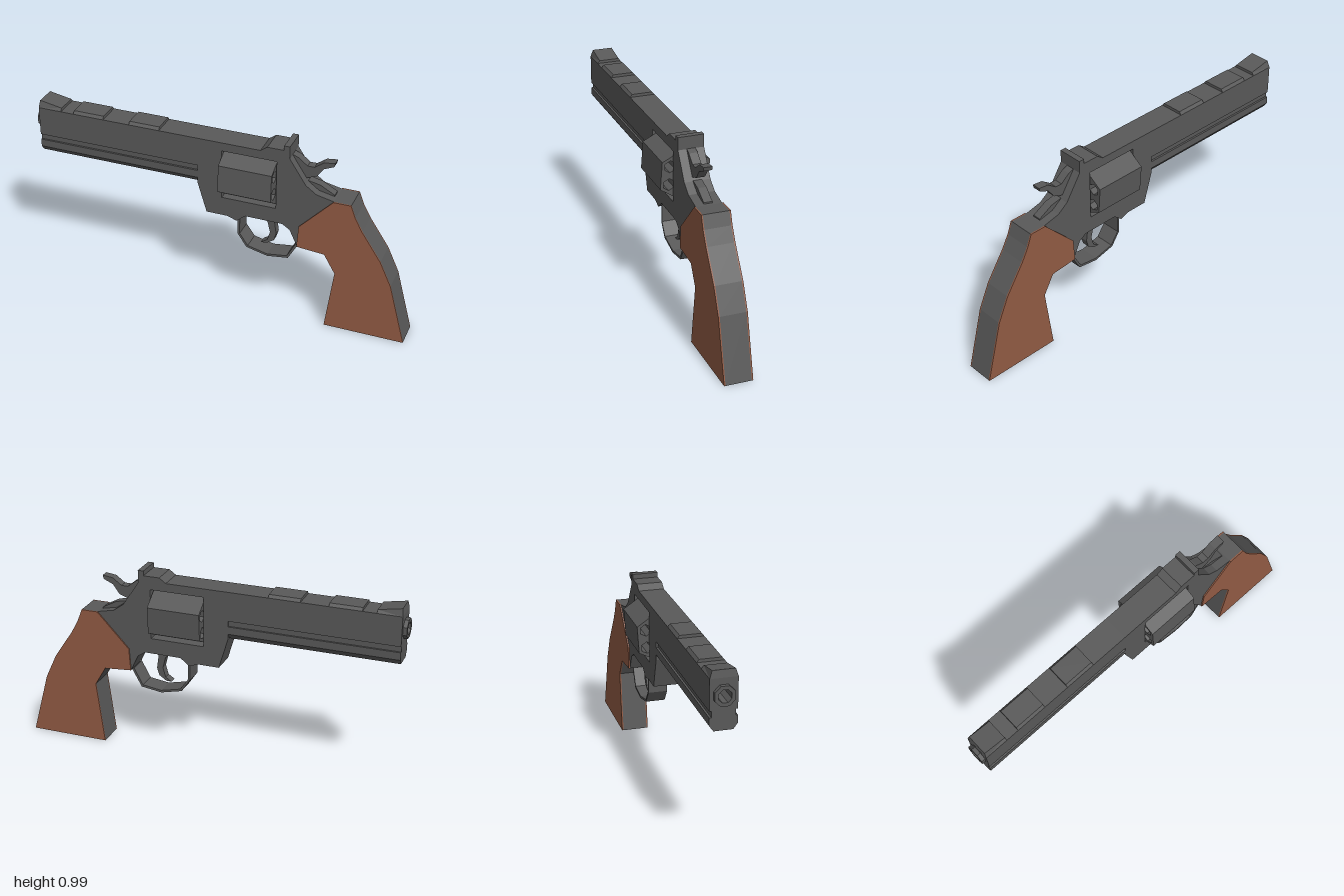
import * as THREE from 'three';

const steel = new THREE.MeshStandardMaterial({ color: 0x595959 });
steel.name = 'dark steel';
const wood = new THREE.MeshStandardMaterial({ color: 0x925b44 });
wood.name = 'brown wood';

const toShape = (pts) => new THREE.Shape(pts.map(([x, y]) => new THREE.Vector2(x, y)));
const toPath = (pts) => new THREE.Path(pts.map(([x, y]) => new THREE.Vector2(x, y)));

// Regular polygon, first corner at angle a0 (radians)
function ring(cx, cy, r, n, a0 = 0) {
  return Array.from({ length: n }, (_, i) => {
    const a = a0 + (i / n) * Math.PI * 2;
    return [cx + r * Math.cos(a), cy + r * Math.sin(a)];
  });
}

function extrude(pts, depth, holes = []) {
  const shape = toShape(pts);
  shape.holes = holes.map(toPath);
  return new THREE.ExtrudeGeometry(shape, { depth, bevelEnabled: false });
}

// Side profile (x, y) with thickness from z0 to z1
const slab = (pts, z0, z1, holes) => extrude(pts, z1 - z0, holes).translate(0, 0, z0);

// Cross-section (-z, y) swept along x from x0 to x1
const sweep = (pts, x0, x1, holes) => extrude(pts, x1 - x0, holes).rotateY(Math.PI / 2).translate(x0, 0, 0);

export function createModel() {
  const group = new THREE.Group();
  const add = (name, geometry, material = steel) => {
    const mesh = new THREE.Mesh(geometry, material);
    mesh.name = name;
    group.add(mesh);
  };
  const W = 0.066;

  // Grip outline, from the top of the backstrap down and round to the front
  const backstrap = [[0.6, 0.735], [0.688, 0.735], [0.712, 0.67], [0.75, 0.6], [0.85, 0.45],
    [0.91, 0.32], [0.995, 0], [0.58, 0], [0.623, 0.325], [0.565, 0.425], [0.42, 0.437]];

  // Frame and grip core in one piece, with the cylinder window
  const frame = [[-0.11, 0.69], [-0.11, 0.94], [0.22, 0.94], [0.255, 0.965], [0.34, 0.965],
    [0.34, 0.99], [0.37, 0.99], [0.37, 0.925], [0.455, 0.795], [0.51, 0.755], ...backstrap,
    [0.38, 0.522], [0.34, 0.548], [0.145, 0.548], [0.1, 0.51], [0.05, 0.528], [-0.062, 0.528]];
  const windowHole = [[0.02, 0.63], [0.305, 0.63], [0.305, 0.895], [0.02, 0.895]];
  add('frame', slab(frame, -W, W, [windowHole]));

  // Wooden grip panels
  const panel = [...backstrap, [0.428, 0.555]];
  add('gripPanelLeft', slab(panel, W, 0.073), wood);
  add('gripPanelRight', slab(panel, -0.073, -W), wood);

  // Barrel with chamfered underside, side grooves and bore
  const half = [[0.046, 0.69], [W, 0.718], [W, 0.757], [0.056, 0.757], [0.056, 0.787], [W, 0.787], [W, 0.94]];
  const section = [...half, ...half.map(([z, y]) => [-z, y]).reverse()];
  const bore = ring(0, 0.86, 0.033, 8, Math.PI / 8);
  add('barrel', sweep(section, -0.98, -0.11, [bore]));
  add('muzzleRing', sweep(ring(0, 0.86, 0.052, 8, Math.PI / 8), -1, -0.98, [bore]));

  // Top rib pieces and front sight, narrowing toward the top
  const rib = (name, pts) => {
    const g = slab(pts, -W, W);
    const p = g.attributes.position;
    for (let i = 0; i < p.count; i++) {
      if (p.getY(i) > 0.945) p.setZ(i, Math.sign(p.getZ(i)) * 0.054);
    }
    g.computeVertexNormals();
    add(name, g);
  };
  rib('frontSight', [[-0.98, 0.94], [-0.855, 0.94], [-0.855, 0.955], [-0.975, 0.977]]);
  for (const [a, b] of [[-0.785, -0.62], [-0.478, -0.315]]) {
    rib('topRib', [[a, 0.94], [b, 0.94], [b, 0.955], [a, 0.955]]);
  }

  // Six-sided cylinder with open chambers
  const turn = THREE.MathUtils.degToRad(26);
  const chambers = ring(0, 0.76, 0.093, 6, turn).map(([x, y]) => ring(x, y, 0.031, 6, turn));
  add('cylinder', sweep(ring(0, 0.76, 0.142, 6, turn), 0.021, 0.298, chambers));

  // Trigger guard loop and trigger
  const guardOuter = [[0.1, 0.515], [0.1, 0.425], [0.148, 0.355], [0.26, 0.328], [0.37, 0.343], [0.423, 0.437]];
  const guardInner = [[0.411, 0.442], [0.363, 0.354], [0.26, 0.34], [0.155, 0.365], [0.111, 0.428], [0.111, 0.525]];
  add('triggerGuard', slab([...guardOuter, ...guardInner], -0.05, 0.05));
  add('trigger', slab([[0.21, 0.552], [0.248, 0.512], [0.262, 0.455], [0.248, 0.405], [0.215, 0.383],
    [0.245, 0.385], [0.283, 0.41], [0.295, 0.45], [0.285, 0.52], [0.32, 0.552]], -0.02, 0.02));

  // Hammer with curved spur, and its rounded base
  add('hammer', slab([[0.36, 0.93], [0.4, 0.915], [0.447, 0.878], [0.482, 0.878], [0.53, 0.913], [0.585, 0.92],
    [0.58, 0.9], [0.53, 0.878], [0.495, 0.83], [0.447, 0.812], [0.4, 0.8], [0.36, 0.85]], -0.022, 0.022));
  add('hammerBase', slab([[0.43, 0.798], [0.455, 0.798], [0.515, 0.786], [0.59, 0.745], [0.59, 0.73],
    [0.45, 0.74]], -0.022, 0.022));

  return group;
}
